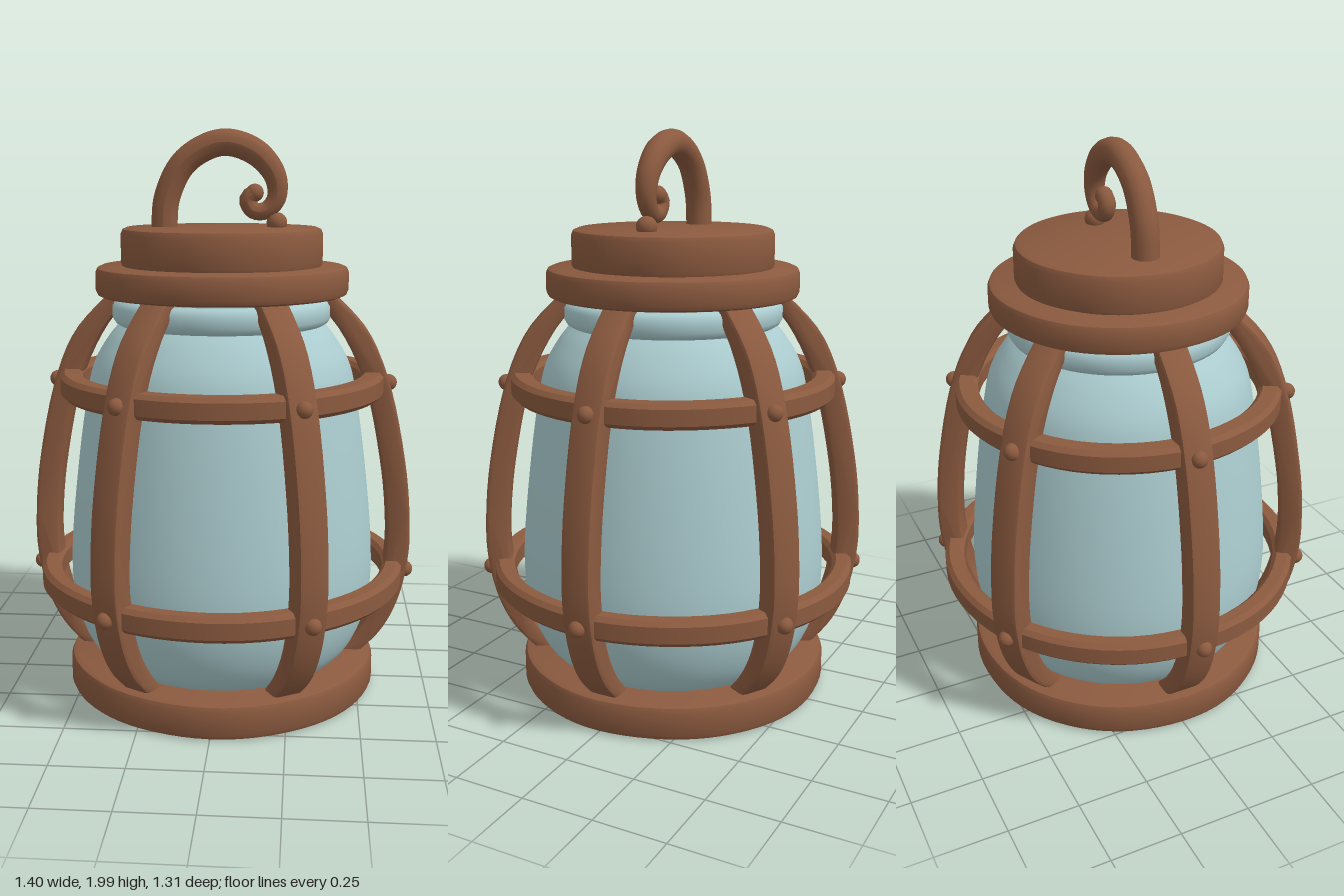
import * as THREE from 'three';
import { toCreasedNormals } from 'three/addons/utils/BufferGeometryUtils.js';

const wood = new THREE.MeshStandardMaterial({ color: 0x8b5a3f });
wood.name = 'brown wood';
const glass = new THREE.MeshStandardMaterial({ color: 0xabcccf });
glass.name = 'pale blue glass';

const vectors = (pts) => pts.map(([x, y]) => new THREE.Vector2(x, y));

function add(parent, name, geometry, material) {
  const mesh = new THREE.Mesh(geometry, material);
  mesh.name = name;
  parent.add(mesh);
  return mesh;
}

// Slight hand-carved unevenness, a smooth function of the angle about y
function carve(geometry, amount, phase) {
  const p = geometry.attributes.position;
  for (let i = 0; i < p.count; i++) {
    const a = Math.atan2(p.getZ(i), p.getX(i));
    const s = 1 + amount * (Math.sin(5 * a + phase) + 0.6 * Math.sin(9 * a + 2 * phase));
    p.setX(i, p.getX(i) * s);
    p.setZ(i, p.getZ(i) * s);
  }
  geometry.computeVertexNormals();
  return toCreasedNormals(geometry, 0.7);
}

// Solid disc with softened rims
function disc(r, y0, y1, phase) {
  const b = 0.022;
  const profile = vectors([
    [0, y0], [r - b, y0], [r - b * 0.3, y0 + b * 0.3], [r, y0 + b],
    [r, y1 - b], [r - b * 0.3, y1 - b * 0.3], [r - b, y1], [0, y1],
  ]);
  return carve(new THREE.LatheGeometry(profile, 72), 0.003, phase);
}

// Hoop with a rounded rectangular section
function hoop(rIn, rOut, y0, y1, phase) {
  const b = 0.015;
  const profile = vectors([
    [rIn, y0 + b], [rIn + b, y0], [rOut - b, y0], [rOut, y0 + b],
    [rOut, y1 - b], [rOut - b, y1], [rIn + b, y1], [rIn, y1 - b], [rIn, y0 + b],
  ]);
  return carve(new THREE.LatheGeometry(profile, 72), 0.002, phase);
}

// Curved cage rib, lying in the xy plane and extruded across its width
function ribGeometry() {
  const outer = new THREE.SplineCurve(vectors([
    [0.49, 0.1], [0.585, 0.2], [0.645, 0.32], [0.676, 0.46], [0.682, 0.6],
    [0.662, 0.82], [0.603, 1.1], [0.52, 1.3], [0.38, 1.45],
  ])).getPoints(36);
  const inner = new THREE.SplineCurve(vectors([
    [0.3, 1.45], [0.425, 1.3], [0.515, 1.1], [0.575, 0.82],
    [0.598, 0.6], [0.592, 0.46], [0.562, 0.32], [0.5, 0.2], [0.41, 0.1],
  ])).getPoints(36);
  const geometry = new THREE.ExtrudeGeometry(new THREE.Shape([...outer, ...inner]), {
    depth: 0.08, bevelEnabled: true, bevelThickness: 0.014,
    bevelSize: 0.012, bevelOffset: -0.012, bevelSegments: 2,
  });
  geometry.translate(0, 0, -0.04);
  return toCreasedNormals(geometry, 0.7);
}

// Round tube that narrows along its length
function taperedTube(curve, segments, sides, radiusAt) {
  const geometry = new THREE.TubeGeometry(curve, segments, 1, sides, false);
  const p = geometry.attributes.position;
  const v = new THREE.Vector3();
  for (let i = 0; i <= segments; i++) {
    const centre = curve.getPointAt(i / segments);
    for (let j = 0; j <= sides; j++) {
      const k = i * (sides + 1) + j;
      v.fromBufferAttribute(p, k).sub(centre).multiplyScalar(radiusAt(i / segments)).add(centre);
      p.setXYZ(k, v.x, v.y, v.z);
    }
  }
  geometry.computeVertexNormals();
  return geometry;
}

export function createModel() {
  const lantern = new THREE.Group();
  lantern.name = 'lantern';

  // Base and two-tier cap
  add(lantern, 'base', disc(0.557, 0.005, 0.13, 0.4), wood);
  add(lantern, 'capBrim', disc(0.444, 1.43, 1.533, 1.7), wood);
  add(lantern, 'capTop', disc(0.353, 1.52, 1.665, 2.9), wood);

  // Glass jar with a rolled lip
  const jar = new THREE.SplineCurve(vectors([
    [0.4, 0.1], [0.475, 0.17], [0.525, 0.28], [0.547, 0.42], [0.541, 0.6],
    [0.51, 0.88], [0.476, 1.1], [0.45, 1.2], [0.4, 1.285], [0.362, 1.33],
  ])).getPoints(40);
  const lip = vectors([
    [0.375, 1.338], [0.385, 1.355], [0.385, 1.395], [0.375, 1.412], [0.36, 1.42], [0.36, 1.45],
  ]);
  const jarGeometry = new THREE.LatheGeometry([...jar, ...lip], 64);
  add(lantern, 'glassJar', toCreasedNormals(jarGeometry, 0.7), glass);

  // Cage hoops
  add(lantern, 'lowerHoop', hoop(0.585, 0.655, 0.388, 0.475, 0.9), wood);
  add(lantern, 'upperHoop', hoop(0.495, 0.575, 1.08, 1.165, 2.2), wood);

  // Six ribs, each with a rivet at both hoops
  const rib = ribGeometry();
  const rivet = new THREE.SphereGeometry(0.029, 16, 12);
  for (let i = 0; i < 6; i++) {
    const side = new THREE.Group();
    side.name = 'ribAssembly';
    side.rotation.y = (i * Math.PI) / 3;
    add(side, 'rib', rib, wood);
    add(side, 'lowerRivet', rivet, wood).position.set(0.671, 0.43, 0);
    add(side, 'upperRivet', rivet, wood).position.set(0.594, 1.122, 0);
    lantern.add(side);
  }

  // Hook handle curling in at its free end
  const hookPath = new THREE.CatmullRomCurve3([
    [-0.203, 1.64], [-0.19, 1.77], [-0.125, 1.89], [0, 1.952], [0.115, 1.92],
    [0.184, 1.84], [0.19, 1.765], [0.155, 1.722], [0.11, 1.722], [0.09, 1.76], [0.115, 1.782],
  ].map(([x, y]) => new THREE.Vector3(x, y, 0)));
  const hookRadius = (t) => 0.046 - 0.016 * THREE.MathUtils.smoothstep(t, 0.55, 0.9);
  add(lantern, 'hook', taperedTube(hookPath, 80, 16, hookRadius), wood);
  add(lantern, 'hookTip', new THREE.SphereGeometry(0.031, 16, 12), wood)
    .position.set(0.115, 1.782, 0);

  // Small peg under the curl
  const peg = add(lantern, 'hookPeg', new THREE.SphereGeometry(0.036, 16, 12), wood);
  peg.position.set(0.192, 1.68, 0);

  return lantern;
}
